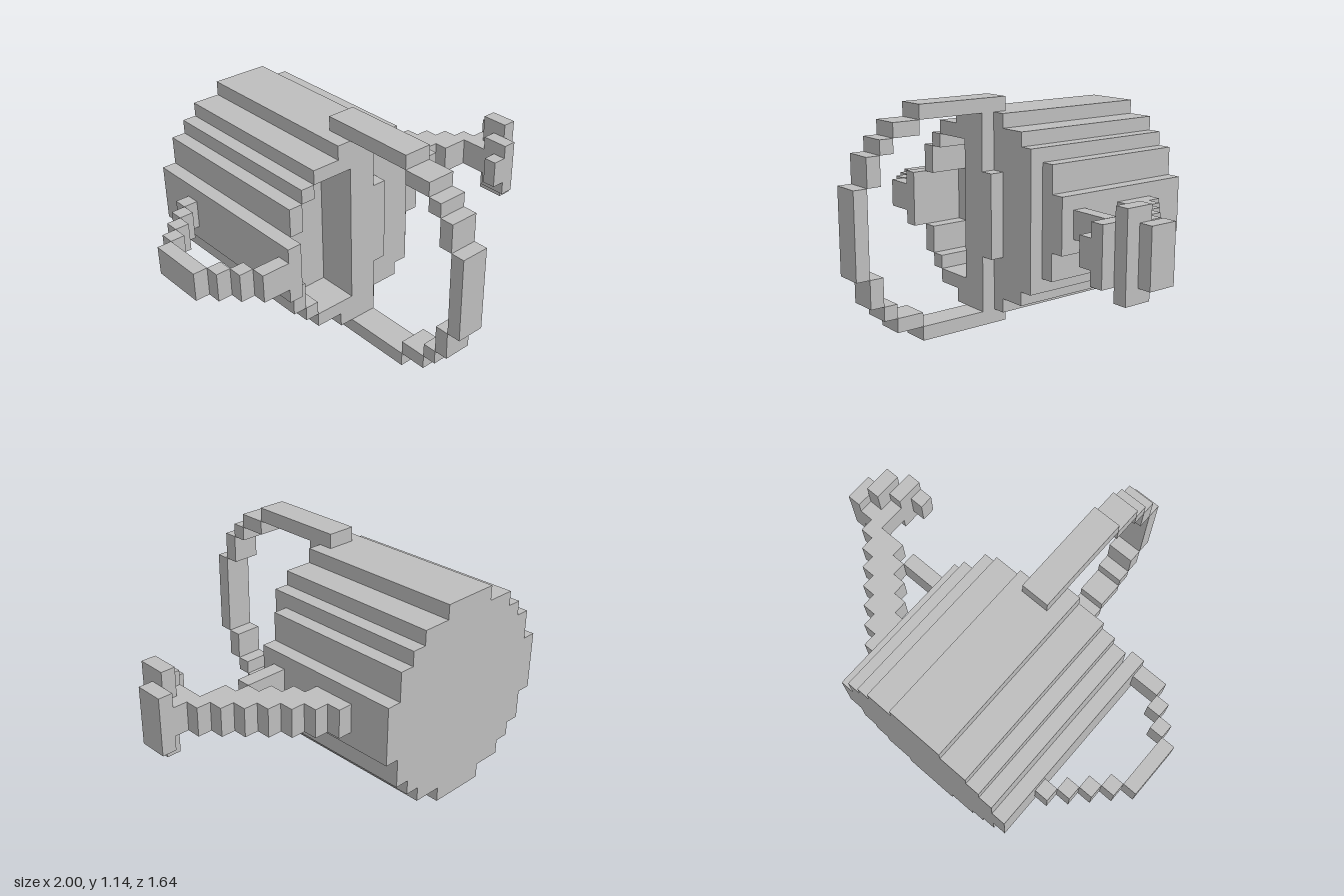
import * as THREE from 'three';

const U = 1 / 14; // edge of one block
const metal = new THREE.MeshStandardMaterial({ color: 0xbdbdbd });
metal.name = 'grey metal';

// Block from corner to corner, in block units
function block(parent, x0, x1, y0, y1, z0, z1) {
  const g = new THREE.BoxGeometry((x1 - x0) * U, (y1 - y0) * U, (z1 - z0) * U);
  const m = new THREE.Mesh(g, metal);
  m.position.set((x0 + x1) / 2 * U, (y0 + y1) / 2 * U, (z0 + z1) / 2 * U);
  m.name = parent.name + 'Block';
  parent.add(m);
}

function part(root, name) {
  const g = new THREE.Group();
  g.name = name;
  root.add(g);
  return g;
}

export function createModel() {
  const root = new THREE.Group();
  root.name = 'wateringCan';
  const MID = 8, BACK = -11.5, FLOOR = -1.5;

  // Stepped round body: x0, x1, half height, front z, half height of the opening
  const body = part(root, 'body');
  const columns = [
    [-9, -8, 2, 2.5, 0], [-8, -7, 4, 1.5, 2], [-7, -6, 5, 1.5, 4],
    [-6, -4, 6, 1.5, 5], [-4, -3, 7, 1.5, 5], [-3, 0, 7, 0.5, 0],
    [0, 2, 6, 0.5, 0], [2, 3, 5, 0.5, 0], [3, 4, 4, -0.5, 0], [4, 5, 2, -0.5, 0],
  ];
  for (const [x0, x1, h, front, hole] of columns) {
    if (!hole) {
      block(body, x0, x1, MID - h, MID + h, BACK, front);
      continue;
    }
    block(body, x0, x1, MID - h, MID + h, BACK, FLOOR);
    block(body, x0, x1, MID + hole, MID + h, FLOOR, front);
    block(body, x0, x1, MID - h, MID - hole, FLOOR, front);
  }

  // Raised edge beside the opening
  const lip = part(root, 'lip');
  block(lip, -1, 0, 5, 11, 0.5, 1.5);

  // Front handle, mirrored about mid height: offsets from the middle, z range
  const front = part(root, 'frontHandle');
  block(front, -3, -1, 1, 15, 0.5, 1.5);
  block(front, -3, -1, 5, 11, 10.5, 11.5);
  const arch = [[7, 8, -0.5, 6.5], [6, 7, 6.5, 8.5], [5, 6, 8.5, 9.5], [3, 5, 9.5, 10.5]];
  for (const [a, b, z0, z1] of arch) {
    block(front, -3, -1, MID + a, MID + b, z0, z1);
    block(front, -3, -1, MID - b, MID - a, z0, z1);
  }

  // Side handle with a diagonal run of blocks to the back
  const side = part(root, 'sideHandle');
  block(side, -11, -9, 7, 9, 1.5, 2.5);
  block(side, -12, -11, 7, 9, 0.5, 1.5);
  block(side, -13, -12, 7, 9, -0.5, 0.5);
  block(side, -14, -13, 7, 9, -4.5, -0.5);
  for (let i = 0; i < 4; i++) block(side, -13 + i, -12 + i, 7, 9, -5.5 - i, -4.5 - i);

  // Spout: diagonal pipe and straight brace
  const spout = part(root, 'spout');
  for (let i = 0; i < 7; i++) {
    block(spout, 5 + i, 6 + i, 7, 9, -8.5 + i, Math.min(-5.5 + i, -1.5));
  }
  block(spout, 5, 8, 7, 9, -2.5, -1.5);
  block(spout, 11, 13, 7, 9, -1.5, 0.5);

  // Rose: a round plate set across the spout
  const rose = part(root, 'rose');
  block(rose, 10, 11, 7, 9, 1.5, 2.5);
  block(rose, 11, 12, 6, 10, 0.5, 2.5);
  block(rose, 12, 13, 5, 11, -0.5, 1.5);
  block(rose, 13, 14, 6, 10, -1.5, 0.5);
  block(rose, 12, 13, 7, 9, -1.5, -0.5);

  return root;
}
